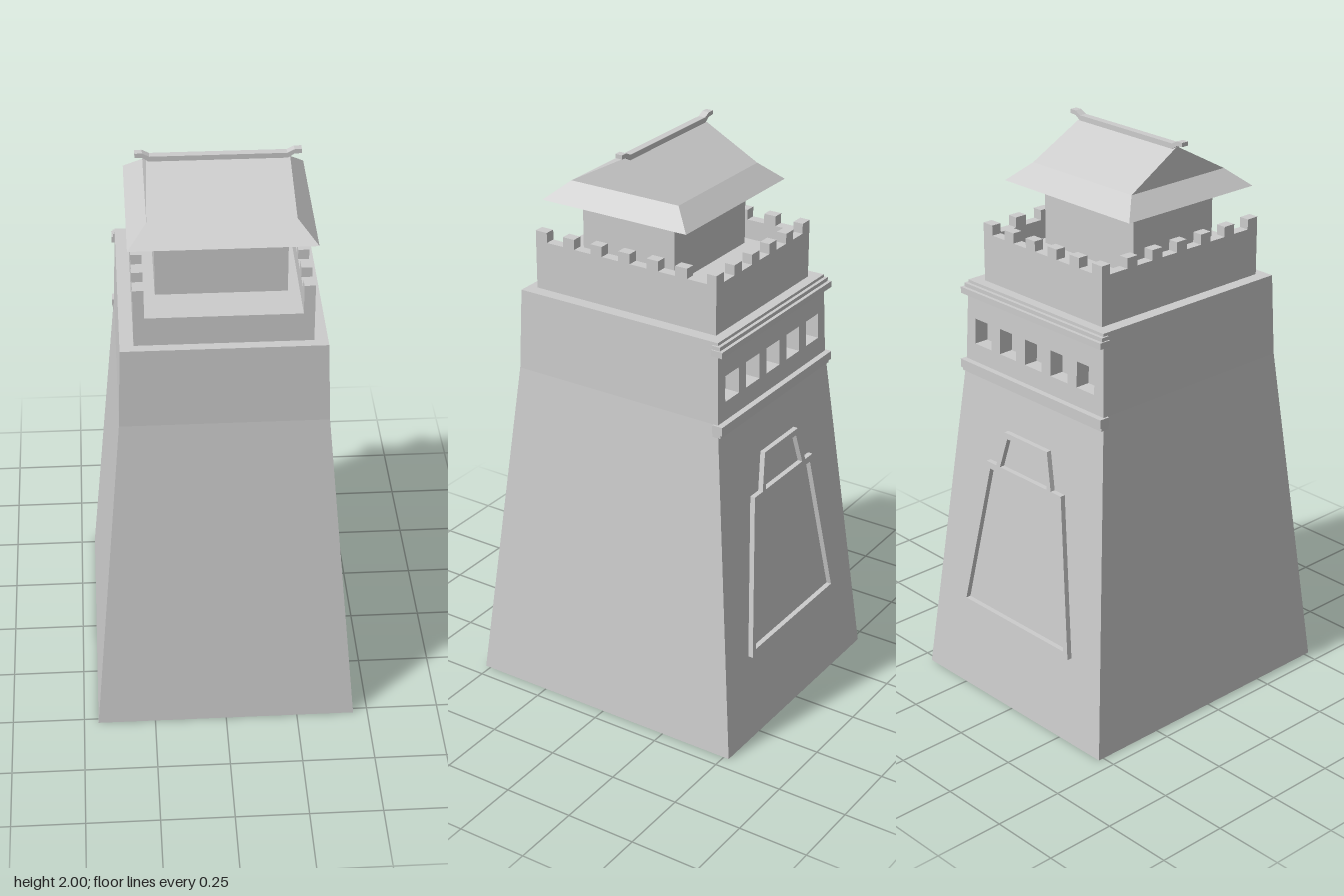
import * as THREE from 'three';

const material = new THREE.MeshStandardMaterial({ color: 0xcccccc, flatShading: true });

function add(parent, name, geometry) {
  const mesh = new THREE.Mesh(geometry, material);
  mesh.name = name;
  parent.add(mesh);
  return mesh;
}

// Box given by its limits
function block(parent, name, x0, x1, y0, y1, z0, z1) {
  const mesh = add(parent, name, new THREE.BoxGeometry(x1 - x0, y1 - y0, z1 - z0));
  mesh.position.set((x0 + x1) / 2, (y0 + y1) / 2, (z0 + z1) / 2);
  return mesh;
}

// Solid through stacked rectangles, each [y, x half width, back z, front z]
function stack(levels) {
  const rings = levels.map(([y, x, zb, zf]) => [[-x, y, zf], [x, y, zf], [x, y, zb], [-x, y, zb]]);
  const pos = [];
  const quad = (a, b, c, d) => pos.push(...a, ...b, ...c, ...a, ...c, ...d);
  for (let i = 0; i < rings.length - 1; i++) {
    for (let k = 0; k < 4; k++) {
      const n = (k + 1) % 4;
      quad(rings[i][k], rings[i][n], rings[i + 1][n], rings[i + 1][k]);
    }
  }
  const [a, b, c, d] = rings[0];
  quad(d, c, b, a);
  quad(...rings[rings.length - 1]);
  const g = new THREE.BufferGeometry();
  g.setAttribute('position', new THREE.Float32BufferAttribute(pos, 3));
  g.computeVertexNormals();
  return g;
}

const polygon = (points, Type = THREE.Shape) => new Type(points.map(p => new THREE.Vector2(...p)));
const trapezoid = (y0, x0, y1, x1) => [[-x0, y0], [x0, y0], [x1, y1], [-x1, y1]];

// Flat plate whose back surface follows the rule z = backZ(y)
function leaningPlate(shape, depth, backZ) {
  const g = new THREE.ExtrudeGeometry(shape, { depth, bevelEnabled: false });
  const p = g.attributes.position;
  for (let i = 0; i < p.count; i++) p.setZ(i, p.getZ(i) + backZ(p.getY(i)));
  g.computeVertexNormals();
  return g;
}

export function createModel() {
  const model = new THREE.Group();
  model.name = 'watchtower';

  // Battered stone body
  const Y1 = 1.19, Y2 = 1.475;
  add(model, 'lowerBody', stack([[0, 0.45, -0.52, 0.52], [Y1, 0.345, -0.397, 0.397]]));
  add(model, 'upperBody', stack([[Y1, 0.345, -0.345, 0.397], [Y2, 0.335, -0.335, 0.388]]));

  // Back wall with a row of five square openings
  const wall = polygon(trapezoid(Y1, 0.345, Y2, 0.335));
  for (let i = -2; i <= 2; i++) {
    const x = i * 0.128;
    wall.holes.push(polygon(
      [[x - 0.042, 1.255], [x - 0.042, 1.345], [x + 0.042, 1.345], [x + 0.042, 1.255]], THREE.Path));
  }
  add(model, 'loopholeWall', leaningPlate(wall, 0.055, y => -0.397 + (y - Y1) * 0.032));

  // Mouldings above and below the openings
  block(model, 'upperMoulding', -0.347, 0.347, 1.43, 1.452, -0.412, -0.37);
  block(model, 'upperMouldingStep', -0.342, 0.342, 1.452, 1.465, -0.4, -0.37);
  block(model, 'lowerMoulding', -0.352, 0.352, 1.16, 1.19, -0.418, -0.38);
  block(model, 'lowerMouldingStep', -0.349, 0.349, 1.147, 1.16, -0.411, -0.38);

  // Raised frames on the sloping back
  const slope = y => -0.52 + y * (0.123 / Y1) - 0.018;
  const panel = polygon(trapezoid(0.31, 0.28, 0.87, 0.19));
  panel.holes.push(polygon(trapezoid(0.332, 0.256, 0.848, 0.17), THREE.Path));
  add(model, 'largeFrame', leaningPlate(panel, 0.025, slope));
  const hood = polygon([[-0.14, 0.87], [-0.12, 0.87], [-0.092, 0.98], [0.092, 0.98],
    [0.12, 0.87], [0.14, 0.87], [0.108, 1.0], [-0.108, 1.0]]);
  add(model, 'smallFrame', leaningPlate(hood, 0.025, slope));

  // Terrace and crenellated parapet on the sides and back
  const X = 0.29, ZB = -0.352, ZF = 0.355, T = 0.036, FLOOR = 1.577, LOW = 1.645, TOP = 1.68;
  block(model, 'terrace', -X, X, Y2, FLOOR, ZB, ZF);
  const parapet = new THREE.Group();
  parapet.name = 'parapet';
  model.add(parapet);
  block(parapet, 'backWall', -X, X, FLOOR, LOW, ZB, ZB + T);
  const M = 0.045;
  for (let i = 0; i < 6; i++) {
    const x = -X + i * (2 * X - M) / 5;
    block(parapet, 'backMerlon', x, x + M, LOW, TOP, ZB, ZB + T);
  }
  for (const s of [-1, 1]) {
    const x0 = s < 0 ? -X : X - T;
    block(parapet, 'sideWall', x0, x0 + T, FLOOR, LOW, ZB + T, ZF);
    for (let i = 1; i < 7; i++) {
      const z = ZB + i * (ZF - ZB - M) / 6;
      block(parapet, 'sideMerlon', x0, x0 + T, LOW, TOP, z, z + M);
    }
  }

  // Guardhouse
  block(model, 'guardhouse', -0.215, 0.215, FLOOR, 1.8, -0.145, 0.215);
  block(model, 'guardhouseTrim', -0.222, 0.222, 1.788, 1.802, -0.152, 0.222);

  // Hip-and-gable roof
  add(model, 'roof', stack([[1.8, 0.302, -0.245, 0.315], [1.862, 0.238, -0.175, 0.243],
    [1.975, 0.23, 0.03, 0.038]]));

  // Ridge with upturned ends
  const half = [[0.222, 1.97], [0.242, 1.984], [0.267, 1.986], [0.267, 2.0], [0.243, 2.0], [0.22, 1.988]];
  const outline = [...half, ...half.map(([x, y]) => [-x, y]).reverse()];
  add(model, 'ridge', new THREE.ExtrudeGeometry(polygon(outline), { depth: 0.026, bevelEnabled: false }))
    .position.z = 0.02;

  return model;
}
